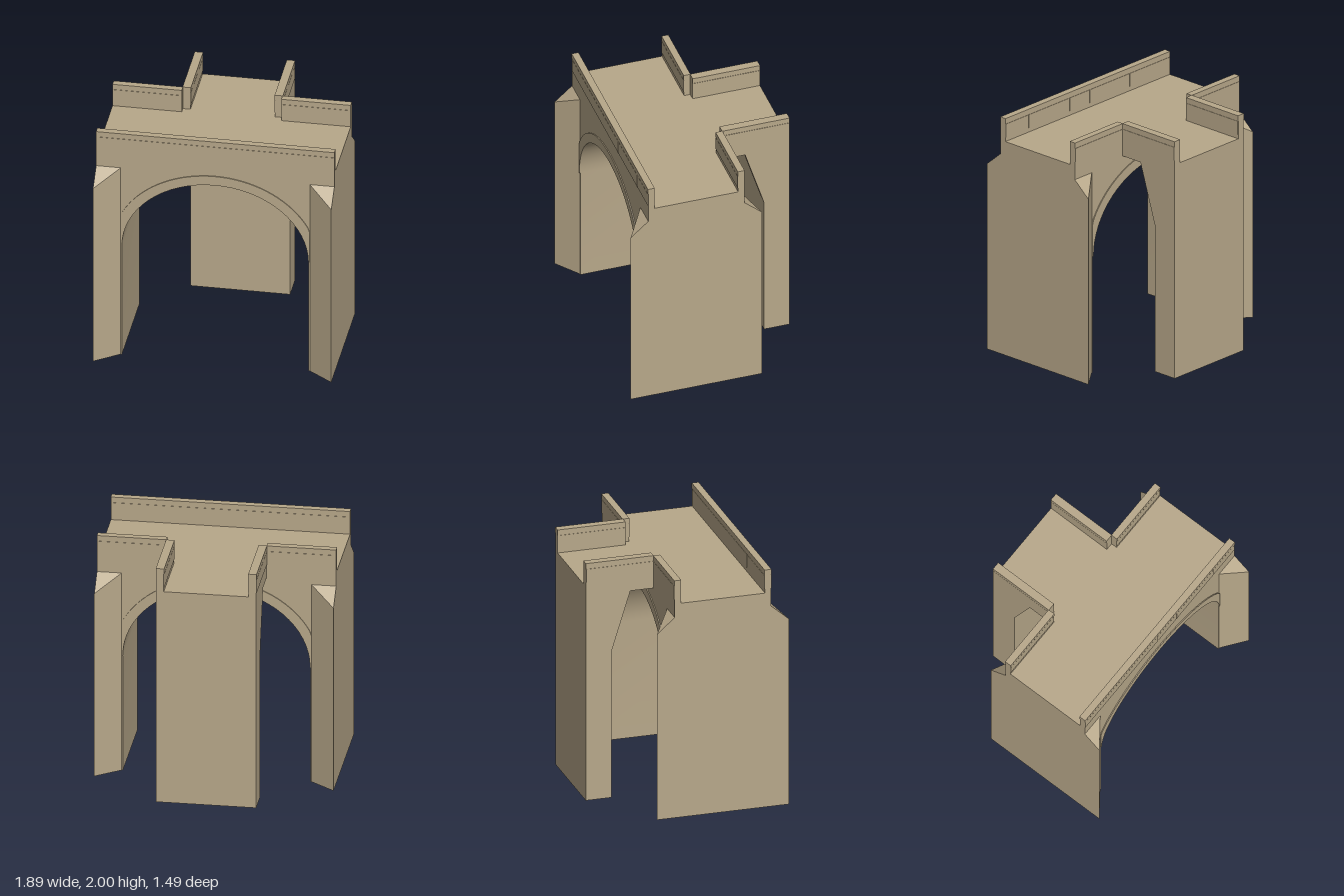
import * as THREE from 'three';
import { toCreasedNormals } from 'three/addons/utils/BufferGeometryUtils.js';

const W = 0.945, FRONT = 0.6, BACK = -0.19;          // half width, wall faces
const DECK = 1.805, TOP = 2;                         // road and parapet heights
const SPAN = 0.74, SPRING = 0.985, RISE = 0.625;     // arch opening
const BX = 0.395, BI = 0.335, BZ = -0.745;           // rear branch

export function createModel() {
  const root = new THREE.Group();
  root.name = 'archBridge';
  const stone = new THREE.MeshStandardMaterial({ color: 0xb8a88a });
  stone.name = 'sandstone';

  const add = (name, geometry, parent = root) => {
    const mesh = new THREE.Mesh(geometry, stone);
    mesh.name = name;
    parent.add(mesh);
    return mesh;
  };
  const box = (name, x0, x1, y0, y1, z0, z1, parent) => add(name,
    new THREE.BoxGeometry(x1 - x0, y1 - y0, z1 - z0)
      .translate((x0 + x1) / 2, (y0 + y1) / 2, (z0 + z1) / 2), parent);
  const toShape = (pts) => new THREE.Shape(pts.map(([x, y]) => new THREE.Vector2(x, y)));
  const extrude = (pts, depth) =>
    new THREE.ExtrudeGeometry(toShape(pts), { depth, bevelEnabled: false });

  // Half ellipse from right springing to left
  const arc = (a, b, n = 32) => Array.from({ length: n + 1 }, (_, i) => {
    const t = (Math.PI * i) / n;
    return [a * Math.cos(t), SPRING + b * Math.sin(t)];
  });

  // Abutments, spandrels and deck in one arched block
  const bodyPts = [[-W, 0], [-W, DECK], [W, DECK], [W, 0], [SPAN, 0],
    ...arc(SPAN, RISE), [-SPAN, 0]];
  add('archedBody', toCreasedNormals(
    extrude(bodyPts, FRONT - BACK).translate(0, 0, BACK), 0.4));

  // Shallow raised ring around each mouth of the arch, cut off at the wing walls
  const outer = arc(0.82, 0.705, 48)
    .map(([x, y]) => [THREE.MathUtils.clamp(x, -0.75, 0.75), y]);
  const ringPts = [...outer, ...arc(SPAN, RISE).reverse()];
  for (const [name, z] of [['frontArchRing', FRONT], ['backArchRing', BACK - 0.01]]) {
    add(name, toCreasedNormals(extrude(ringPts, 0.008).translate(0, 0, z), 0.4));
  }

  // Splayed wing walls with sloping tops
  for (const sx of [1, -1]) {
    for (const [face, tip, label] of [[FRONT, 0.745, 'Front'], [BACK, -0.335, 'Back']]) {
      const g = extrude([[sx * 0.75, -face], [sx * W, -face], [sx * W, -tip]], 1.69)
        .rotateX(-Math.PI / 2);
      const p = g.attributes.position;
      for (let i = 0; i < p.count; i++) {
        if (p.getY(i) > 1) p.setY(i, 1.69 - 0.125 * (p.getZ(i) - face) / (tip - face));
      }
      g.computeVertexNormals();
      add((sx > 0 ? 'left' : 'right') + label + 'WingWall', g);
    }
  }

  // Parapet along x: core, coping and jointed panels on both faces
  const E = 0.003;
  function parapet(name, x0, x1, z0, z1, joints) {
    const g = new THREE.Group();
    g.name = name;
    root.add(g);
    box('core', x0, x1, DECK - 0.01, TOP - 0.01, z0, z1, g);
    box('coping', x0, x1, 1.955, TOP, z0 - E, z1 + E, g);
    const stops = [x0, ...joints, x1];
    for (let i = 0; i < stops.length - 1; i++) {
      box('panel', stops[i] + 0.003, stops[i + 1] - 0.003, 1.84, 1.952, z0 - E, z1 + E, g);
    }
  }
  parapet('frontParapet', -W, W, 0.55, FRONT, [-0.48, -0.02, 0.21, 0.68]);
  parapet('leftBackParapet', BX, W, BACK, -0.14, []);
  parapet('rightBackParapet', -W, -BX, BACK, -0.14, []);

  // Rear branch: pier, deck and bracketed side walls
  box('rearPier', -BX, BX, 0, 1.23, BZ, -0.535);
  box('rearPierHead', -BI, BI, 1.23, DECK, BZ, -0.535);
  box('rearDeck', -BI, BI, 1.725, DECK, -0.535, BACK);
  const sidePts = [[BACK, TOP], [BACK, 1.725], [-0.38, 1.725], [-0.535, 1.23],
    [BZ, 1.23], [BZ, TOP]];
  for (const sx of [1, -1]) {
    const label = sx > 0 ? 'left' : 'right';
    add(label + 'BranchWall', extrude(sidePts, BX - BI)
      .rotateY(-Math.PI / 2).translate(sx > 0 ? BX : -BI, 0, 0));
    const x0 = sx > 0 ? BI : -BX;
    box(label + 'BranchCoping', x0 - E, x0 + BX - BI + E, 1.955, TOP, BZ, BACK);
    box(label + 'BranchPanel', x0 - E, x0 + BX - BI + E, 1.84, 1.952, BZ + 0.003, BACK - 0.003);
  }
  return root;
}
